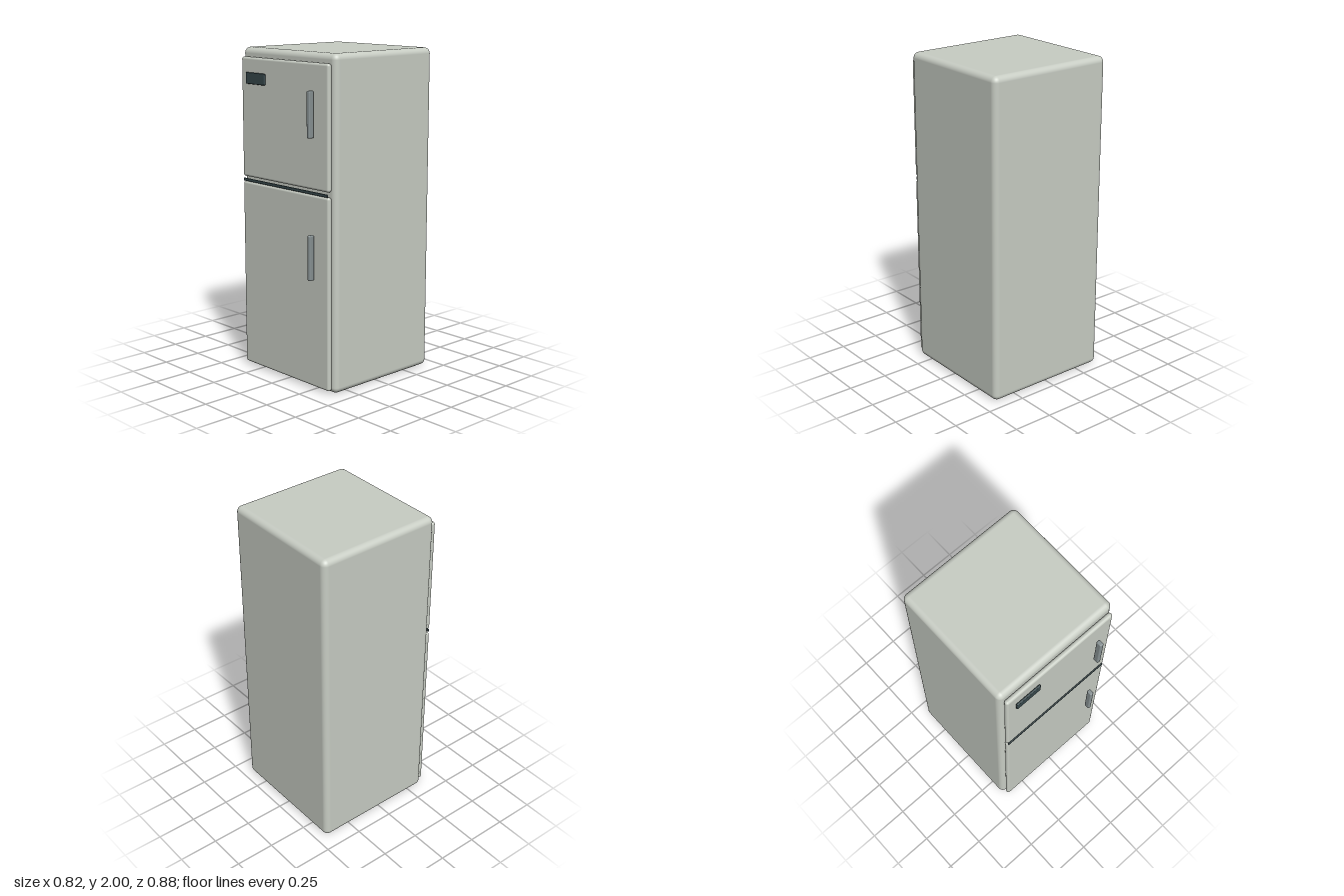
import * as THREE from 'three';
import { RoundedBoxGeometry } from 'three/addons/geometries/RoundedBoxGeometry.js';

const enamel = new THREE.MeshStandardMaterial({ color: 0xc8cdc4 });
const metal = new THREE.MeshStandardMaterial({ color: 0x879193 });
const dark = new THREE.MeshStandardMaterial({ color: 0x36474b });

// Rounded block given by its limits on each axis
function block(name, [x0, x1], [y0, y1], [z0, z1], radius, material) {
  const geometry = new RoundedBoxGeometry(x1 - x0, y1 - y0, z1 - z0, 4, radius);
  const mesh = new THREE.Mesh(geometry, material);
  mesh.position.set((x0 + x1) / 2, (y0 + y1) / 2, (z0 + z1) / 2);
  mesh.name = name;
  return mesh;
}

export function createModel() {
  const fridge = new THREE.Group();
  fridge.name = 'refrigerator';

  // Cabinet
  fridge.add(block('cabinet', [-0.41, 0.41], [0, 2], [-0.441, 0.356], 0.036, enamel));

  // Doors, each with its upright handle
  const doors = [
    { name: 'freezer', y: [1.215, 1.945], handle: [1.52, 1.79] },
    { name: 'fridge', y: [0.02, 1.185], handle: [0.685, 0.955] },
  ];
  for (const { name, y, handle } of doors) {
    fridge.add(block(name + 'Door', [-0.385, 0.385], y, [0.357, 0.389], 0.015, enamel));
    fridge.add(block(name + 'Handle', [0.257, 0.283], handle, [0.404, 0.441], 0.008, metal));
  }

  // Dark strip between the doors
  fridge.add(block('doorGapStrip', [-0.377, 0.377], [1.186, 1.204], [0.381, 0.391], 0.004, dark));

  // Blank plate on the freezer door
  fridge.add(block('plate', [-0.326, -0.154], [1.786, 1.855], [0.392, 0.405], 0.005, dark));

  return fridge;
}
